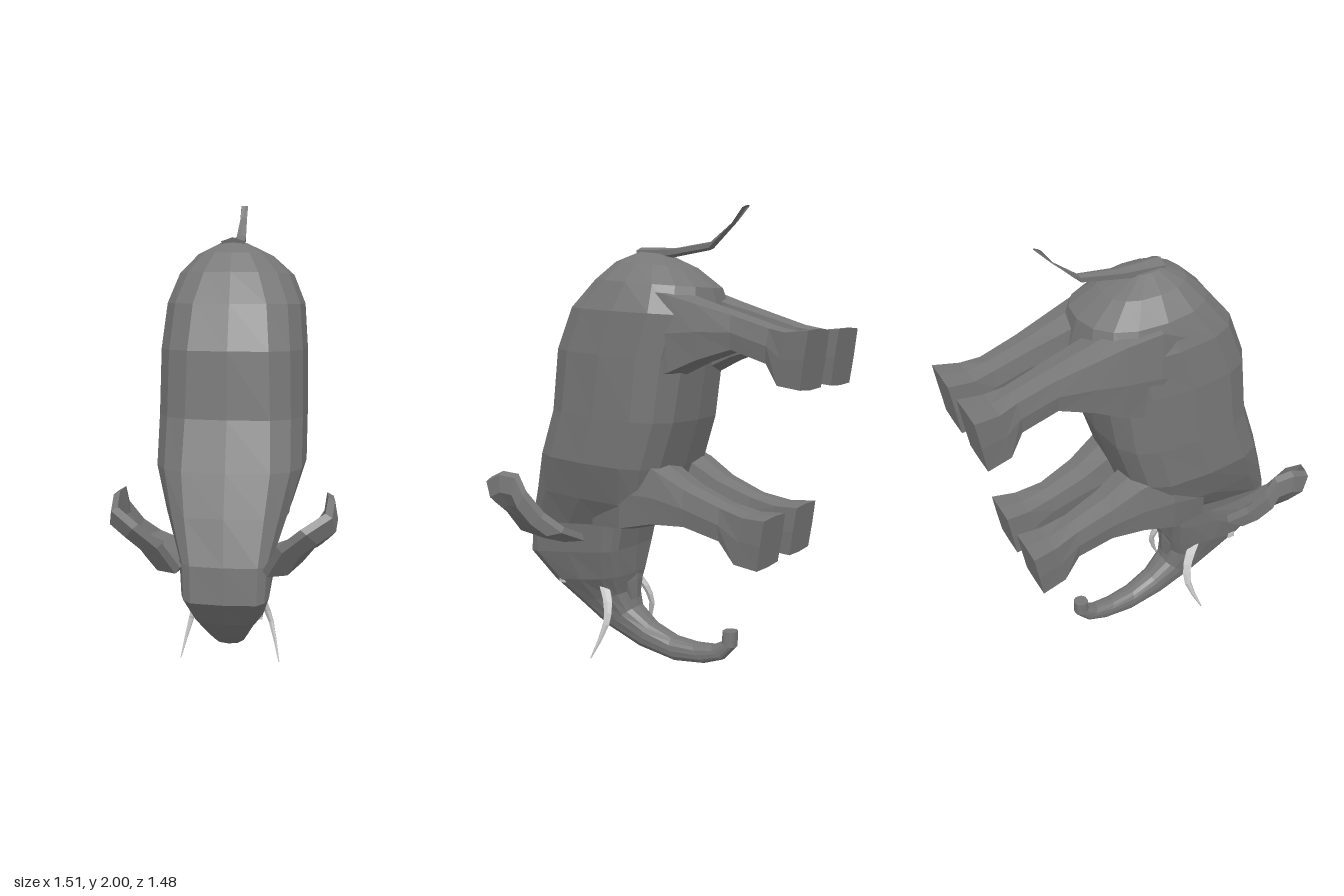
import * as THREE from 'three';

const V = (x, y, z) => new THREE.Vector3(x, y, z);
const skin = new THREE.MeshStandardMaterial({ color: 0x777777, flatShading: true });
const ivory = new THREE.MeshStandardMaterial({ color: 0xcccccc, flatShading: true });

// Closed, capped skin over a row of equal-sized rings; faces always point outward.
function loft(rings) {
  const n = rings[0].length, pos = [], index = [];
  const mid = r => r.reduce((a, p) => a.add(p), V(0, 0, 0)).divideScalar(n);
  rings.forEach(r => r.forEach(p => pos.push(p.x, p.y, p.z)));
  const last = rings.length - 1, c0 = rings.length * n, c1 = c0 + 1;
  [mid(rings[0]), mid(rings[last])].forEach(p => pos.push(p.x, p.y, p.z));
  for (let j = 0; j < n; j++) {
    const k = (j + 1) % n;
    for (let i = 0; i < last; i++) {
      const a = i * n + j, b = i * n + k;
      index.push(a, b, b + n, a, b + n, a + n);
    }
    index.push(c0, k, j, c1, last * n + j, last * n + k);
  }
  // the signed volume tells whether the skin is inside out
  const P = i => V(pos[3 * i], pos[3 * i + 1], pos[3 * i + 2]);
  let volume = 0;
  for (let i = 0; i < index.length; i += 3)
    volume += P(index[i]).dot(P(index[i + 1]).cross(P(index[i + 2])));
  if (volume < 0) index.reverse();
  const g = new THREE.BufferGeometry();
  g.setAttribute('position', new THREE.Float32BufferAttribute(pos, 3));
  g.setIndex(index);
  g.computeVertexNormals();
  return g;
}

// Rounded-box ring between a dorsal and a ventral point, from x0 to x1.
function ring(top, bottom, x0, x1, power, sides) {
  const c = top.clone().add(bottom).multiplyScalar(0.5).setX((x0 + x1) / 2);
  const up = top.clone().sub(bottom).multiplyScalar(0.5);
  const soft = v => Math.sign(v) * Math.pow(Math.abs(v), 2 / power);
  return Array.from({ length: sides }, (_, i) => {
    const a = (i / sides) * Math.PI * 2;
    const p = c.clone().addScaledVector(up, soft(Math.cos(a)));
    p.x += soft(Math.sin(a)) * (x1 - x0) / 2;
    return p;
  });
}

// Rows: dorsal z, y, ventral z, y, half width, squareness, sideways shift
const BODY = [
  [0.07, 1.835, -0.05, 1.82, 0.06, 2.5, 0], [0.17, 1.795, -0.18, 1.76, 0.16, 2.4, 0.005],
  [0.255, 1.72, -0.29, 1.675, 0.245, 2.4, 0.01], [0.355, 1.6, -0.32, 1.56, 0.29, 2.8, 0.015],
  [0.42, 1.42, -0.265, 1.38, 0.305, 3, 0.015], [0.44, 1.15, -0.225, 1.12, 0.31, 3.2, 0.015],
  [0.505, 0.95, -0.16, 0.92, 0.31, 3.4, 0.015], [0.56, 0.78, -0.1, 0.75, 0.255, 4, 0.015],
  [0.615, 0.6, 0.07, 0.65, 0.19, 5.5, 0.02], [0.625, 0.45, 0.1, 0.52, 0.18, 6, 0.02],
  [0.52, 0.32, 0.11, 0.39, 0.155, 3.5, 0.015], [0.395, 0.215, 0.13, 0.3, 0.114, 3, 0.005],
  [0.25, 0.11, 0.11, 0.22, 0.083, 2.7, 0], [0.08, 0.035, 0.03, 0.155, 0.064, 2.5, -0.01],
  [-0.1, 0.003, -0.08, 0.11, 0.054, 2.5, -0.02], [-0.25, 0.02, -0.19, 0.1, 0.046, 2.5, -0.03],
  [-0.34, 0.055, -0.28, 0.108, 0.04, 2.5, -0.035], [-0.395, 0.12, -0.33, 0.135, 0.035, 2.5, -0.04],
  [-0.395, 0.19, -0.33, 0.185, 0.032, 2.5, -0.042]];
const TAIL = [
  [0.08, 1.855, 0.06, 1.78, 0.055, 2.5, 0], [-0.1, 1.845, -0.1, 1.808, 0.036, 2.5, 0],
  [-0.28, 1.865, -0.27, 1.83, 0.024, 2.5, 0], [-0.395, 1.945, -0.37, 1.925, 0.017, 2.5, 0],
  [-0.45, 2, -0.42, 1.99, 0.017, 2.5, 0]];
const LIP = [
  [0.3, 0.42, 0.12, 0.46, 0.1, 3, 0], [0.24, 0.3, 0.11, 0.35, 0.075, 3, 0],
  [0.19, 0.24, 0.11, 0.26, 0.04, 3, 0]];

// Rows: rear z, y, front z, y, inner x, outer x
const HIND_LEG = [
  [0.12, 1.62, 0.08, 1.25, 0.02, 0.27], [-0.05, 1.7, -0.08, 1.27, 0.02, 0.275],
  [-0.2, 1.67, -0.22, 1.31, 0.02, 0.255], [-0.33, 1.625, -0.34, 1.37, 0.025, 0.23],
  [-0.48, 1.575, -0.48, 1.42, 0.035, 0.2], [-0.64, 1.525, -0.63, 1.37, 0.04, 0.19],
  [-0.72, 1.505, -0.69, 1.295, 0.035, 0.205], [-0.825, 1.515, -0.795, 1.283, 0.03, 0.225]];
const FRONT_LEG = [
  [0.18, 0.88, 0.2, 0.62, 0.02, 0.23], [0, 0.99, 0.03, 0.63, 0.02, 0.265],
  [-0.14, 0.94, -0.12, 0.67, 0.025, 0.24], [-0.27, 0.86, -0.27, 0.68, 0.035, 0.21],
  [-0.43, 0.8, -0.43, 0.64, 0.042, 0.19], [-0.55, 0.77, -0.51, 0.565, 0.04, 0.2],
  [-0.655, 0.775, -0.625, 0.56, 0.03, 0.22]];

// Outline of the left ear, from the crown round to the cheek
const EAR = [
  [0.16, 0.58, 0.62], [0.22, 0.7, 0.675], [0.31, 0.78, 0.69], [0.405, 0.83, 0.63],
  [0.415, 0.87, 0.54], [0.41, 0.865, 0.45], [0.41, 0.79, 0.405], [0.36, 0.69, 0.345],
  [0.3, 0.62, 0.28], [0.17, 0.56, 0.26], [0.14, 0.55, 0.44]];

const spine = (rows, sides) => loft(rows.map(([tz, ty, bz, by, w, p, x]) =>
  ring(V(0, ty, tz), V(0, by, bz), x - w, x + w, p, sides)));

// The right legs splay a little further out towards the foot
const leg = (rows, side, splay) => loft(rows.map(([tz, ty, bz, by, x0, x1], i) => {
  const out = side < 0 ? splay * Math.max(0, -tz) : 0;
  return ring(V(0, ty, tz), V(0, by, bz), (x0 + out) * side, (x1 + out) * side,
    i > rows.length - 3 ? 16 : 5, 8);
}));

// Cupped ear: domed outer face, thick rim, hollow inner face
function ear(side) {
  const outline = EAR.map(p => V(...p));
  const centre = outline.reduce((a, p) => a.add(p), V(0, 0, 0)).divideScalar(EAR.length);
  const normal = V(0.76, -0.65, 0);
  const layers = [[0.4, 0.075], [0.75, 0.065], [1, 0.01], [0.97, -0.02], [0.78, 0], [0.5, 0.03]];
  return loft(layers.map(([k, h]) => outline.map(p => {
    const q = centre.clone().lerp(p, k).addScaledVector(normal, h);
    q.x = q.x * side + 0.012 + 0.012 * side;
    return q;
  })));
}

// Curved tusk narrowing to a point
function tusk(side) {
  const curve = new THREE.CatmullRomCurve3(
    [V(0.11, 0.36, 0.23), V(0.145, 0.28, 0.175), V(0.18, 0.18, 0.155), V(0.22, 0.015, 0.215)]);
  const rings = [];
  for (let i = 0; i <= 6; i++) {
    const c = curve.getPoint(i / 6), r = 0.03 * (1 - (i / 6) ** 1.5) + 0.003;
    const d = V(0, 0.35, 1).normalize().multiplyScalar(r);
    const w = r * 0.75;
    rings.push(ring(c.clone().add(d), c.clone().sub(d), (c.x - w) * side, (c.x + w) * side, 2, 6));
  }
  return loft(rings);
}

export function createModel() {
  const model = new THREE.Group();
  model.name = 'elephant';
  const add = (name, geometry, material = skin) => {
    const mesh = new THREE.Mesh(geometry, material);
    mesh.name = name;
    model.add(mesh);
    return mesh;
  };
  add('bodyHeadAndTrunk', spine(BODY, 16));
  add('tail', spine(TAIL, 6));
  add('lowerLip', spine(LIP, 8));
  for (const [side, label] of [[1, 'left'], [-1, 'right']]) {
    add(label + 'HindLeg', leg(HIND_LEG, side, 0.03));
    add(label + 'FrontLeg', leg(FRONT_LEG, side, 0.06));
    add(label + 'Ear', ear(side));
    add(label + 'Tusk', tusk(side), ivory);
    const eye = add(label + 'Eye', new THREE.BoxGeometry(0.02, 0.03, 0.035), ivory);
    eye.position.set(side * 0.14 + 0.012, 0.335, 0.43);
  }
  // the animal balances nose down, its back turned diagonally
  model.rotation.y = Math.PI / 4;
  const root = new THREE.Group();
  root.name = 'model';
  root.add(model);
  return root;
}
